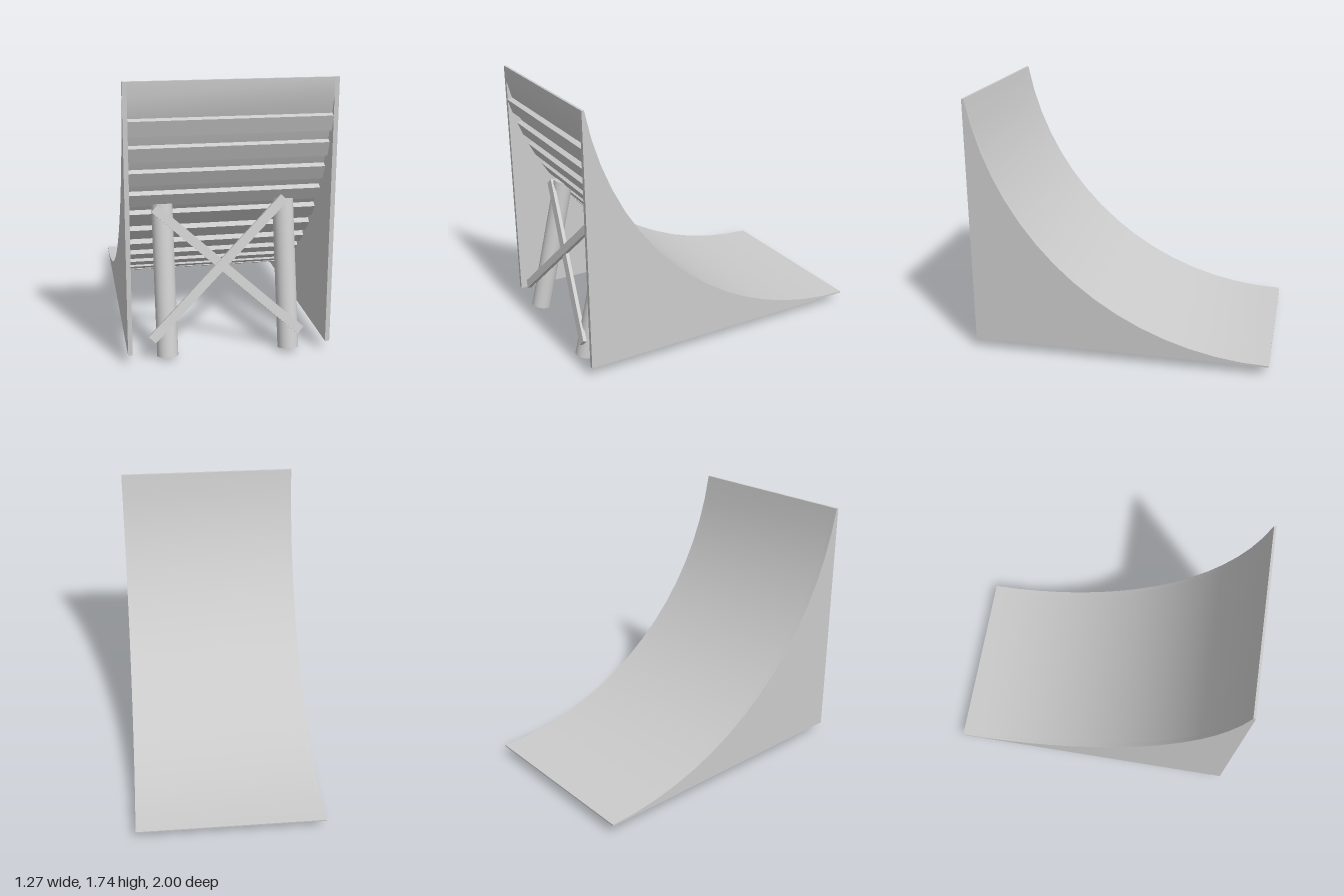
import * as THREE from 'three';
import { toCreasedNormals } from 'three/addons/utils/BufferGeometryUtils.js';

const R = 2.015, R_OUT = 2.05;         // riding surface and deck underside radii
const CY = 2.09, CZ = -1;              // centre of the curve
const BASE = 0.065, HALF = 0.636, PANEL = 0.028;
const rad = THREE.MathUtils.degToRad;

export function createModel() {
  const model = new THREE.Group();
  const material = new THREE.MeshStandardMaterial({ color: 0xcccccc });

  const add = (parent, name, geometry) => {
    const mesh = new THREE.Mesh(geometry, material);
    mesh.name = name;
    parent.add(mesh);
    return mesh;
  };

  // Points (z, y) on an arc, angles in degrees from straight down
  const arc = (r, from, to, n) => Array.from({ length: n + 1 }, (_, i) => {
    const a = rad(from + (to - from) * i / n);
    return new THREE.Vector2(CZ + r * Math.sin(a), CY - r * Math.cos(a));
  });

  // Extrude a (z, y) outline sideways, centred on x = 0
  const sideways = (points, width) => {
    const g = new THREE.ExtrudeGeometry(new THREE.Shape(points), { depth: width, bevelEnabled: false });
    g.translate(0, 0, -width / 2);
    g.rotateY(-Math.PI / 2);
    return toCreasedNormals(g, rad(20));
  };

  const topEdge = arc(R, 0, 80, 16);
  const topY = topEdge[16].y;
  const corner = (z, y) => new THREE.Vector2(z, y);

  // Side panels
  const panelShape = [...topEdge, corner(1, topY), corner(1, BASE), corner(-1, BASE)];
  for (const [side, name] of [[1, 'leftPanel'], [-1, 'rightPanel']]) {
    add(model, name, sideways(panelShape, PANEL)).position.x = side * (HALF - PANEL / 2);
  }

  // Curved deck, cut flush with the front plane and the base
  const inner = 2 * (HALF - PANEL);
  const frontAngle = THREE.MathUtils.radToDeg(Math.asin((1 - CZ) / R_OUT));
  const baseAngle = THREE.MathUtils.radToDeg(Math.acos((CY - BASE) / R_OUT));
  const underside = arc(R_OUT, frontAngle, baseAngle, 16);
  add(model, 'deck', sideways([...topEdge, corner(1, topY), ...underside, corner(-1, BASE)], inner));

  // Cross slats under the deck, one per curve segment
  const slats = new THREE.Group();
  slats.name = 'slats';
  model.add(slats);
  for (let deg = 12.5; deg <= 72.5; deg += 5) {
    const a = rad(deg), r = R_OUT + (deg < 15 ? -0.008 : 0.0145);
    const slat = add(slats, 'slat', new THREE.BoxGeometry(inner, 0.039, 0.1));
    slat.position.set(0, CY - r * Math.cos(a), CZ + r * Math.sin(a));
    slat.rotation.x = -a;
  }

  // Leaning support frame
  const frame = new THREE.Group();
  frame.name = 'supportFrame';
  frame.position.set(0, 0.0155, 0.935);
  frame.rotation.x = -rad(13.4);
  model.add(frame);

  // Posts
  for (const [side, name] of [[1, 'leftPost'], [-1, 'rightPost']]) {
    add(frame, name, new THREE.CylinderGeometry(0.066, 0.066, 0.945, 32))
      .position.set(side * 0.385, 0.4725, 0);
  }

  // Crossed braces
  const brace = (name, x1, y1, x2, y2, z) => {
    const dx = x2 - x1, dy = y2 - y1;
    const bar = add(frame, name, new THREE.BoxGeometry(Math.hypot(dx, dy), 0.058, 0.025));
    bar.position.set((x1 + x2) / 2, (y1 + y2) / 2, z);
    bar.rotation.z = Math.atan2(dy, dx);
  };
  brace('frontBrace', -0.485, 0.12, 0.375, 0.953, 0.08);
  brace('backBrace', -0.44, 0.922, 0.45, 0.115, 0.068);

  return model;
}
